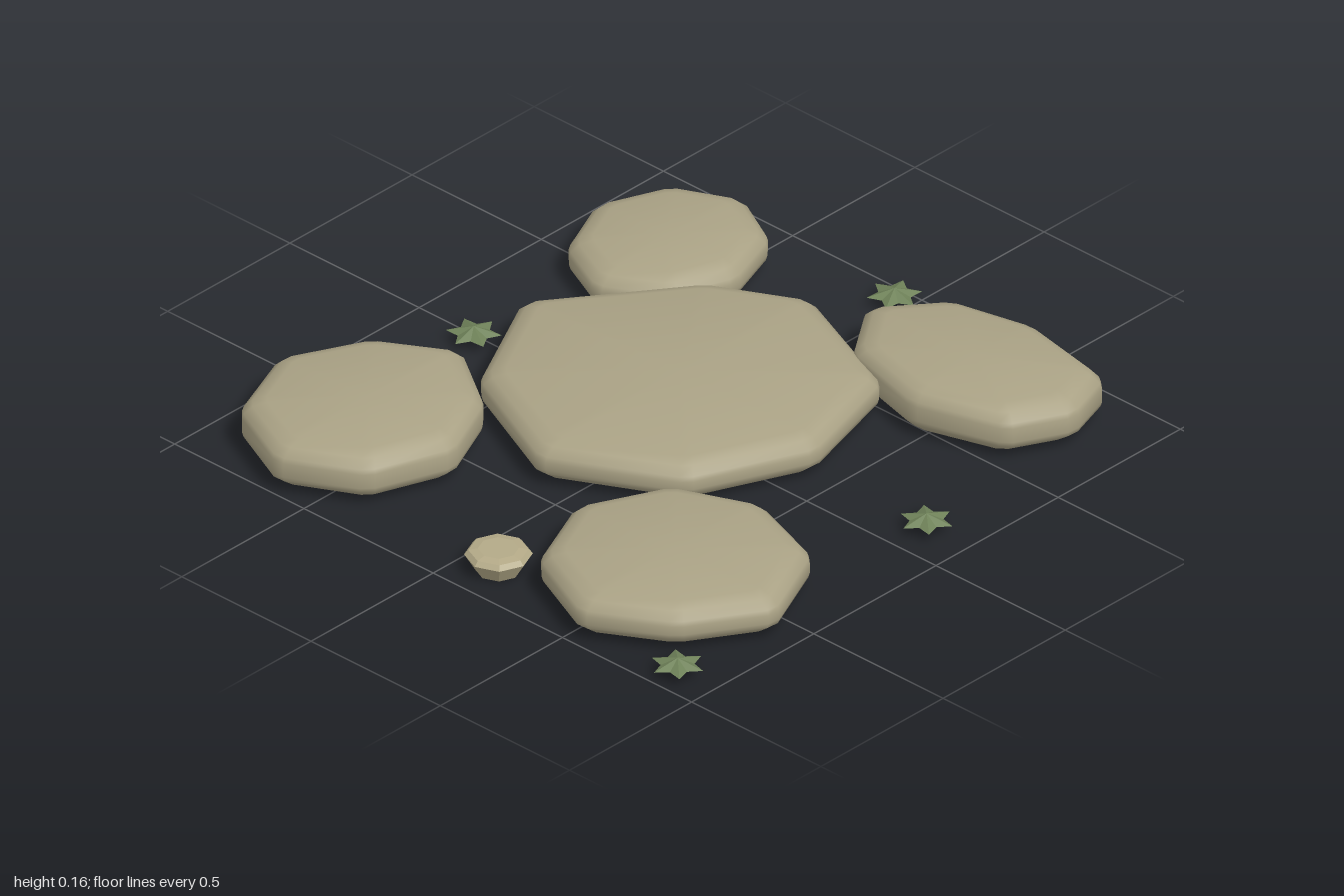
import * as THREE from 'three';
import { toCreasedNormals } from 'three/addons/utils/BufferGeometryUtils.js';

const named = (color, name) => Object.assign(new THREE.MeshStandardMaterial({ color }), { name });

// Cuts each corner of an outline into two points
function softenCorners(outline, cut) {
  const points = outline.map(([x, z]) => new THREE.Vector2(x, z));
  const n = points.length;
  return points.flatMap((p, i) =>
    [points[(i + n - 1) % n], points[(i + 1) % n]].map((q) =>
      p.clone().addScaledVector(q.clone().sub(p).normalize(), cut)));
}

// Slab with rounded rims, lofted from inset copies of one outline
function stoneGeometry(outline, height) {
  const loop = softenCorners(outline, 0.022);
  const n = loop.length;
  const centre = loop.reduce((sum, p) => sum.add(p), new THREE.Vector2()).divideScalar(n);
  const radius = loop.reduce((sum, p) => sum + p.distanceTo(centre), 0) / n;
  // [height, inset] of each ring
  const rings = [
    [0.004, 0.075], [0.016, 0.04], [0.045, 0.004], [0.06, 0],
    [height - 0.05, 0], [height - 0.035, 0.005], [height - 0.012, 0.03], [height, 0.07],
  ];
  const positions = [];
  const indices = [];
  for (const [y, inset] of rings) {
    const s = 1 - inset / radius;
    for (const p of loop) positions.push(centre.x + (p.x - centre.x) * s, y, centre.y + (p.y - centre.y) * s);
  }
  const bottom = rings.length * n;
  positions.push(centre.x, rings[0][0], centre.y, centre.x, height, centre.y);
  for (let i = 0; i < n; i++) {
    const j = (i + 1) % n;
    for (let r = 0; r < rings.length - 1; r++) {
      const a = r * n + i, b = r * n + j;
      indices.push(b, a, a + n, b, a + n, b + n);
    }
    const top = bottom - n;
    indices.push(bottom, i, j, bottom + 1, top + j, top + i);
  }
  const geometry = new THREE.BufferGeometry();
  geometry.setAttribute('position', new THREE.Float32BufferAttribute(positions, 3));
  geometry.setIndex(indices);
  return toCreasedNormals(geometry, 0.75);
}

// Low six-pointed star: a twelve-sided cone with every second rim point pulled in
function tuftGeometry() {
  const geometry = new THREE.ConeGeometry(0.08, 0.022, 12, 1);
  const pos = geometry.attributes.position;
  for (let i = 0; i < pos.count; i++) {
    const x = pos.getX(i), z = pos.getZ(i);
    if (Math.hypot(x, z) < 0.01) continue;
    const step = Math.round(Math.atan2(x, z) / (Math.PI / 6));
    if (step % 2 !== 0) {
      pos.setX(i, x * 0.6);
      pos.setZ(i, z * 0.6);
    }
  }
  return geometry.translate(0, 0.044, 0);
}

export function createModel() {
  const group = new THREE.Group();
  const stone = named(0xaaa285, 'stone');
  const paleStone = named(0xb3a987, 'pale stone');
  const grass = named(0x6f8259, 'grass');
  paleStone.flatShading = true;
  grass.flatShading = true;

  const add = (name, geometry, material) => {
    const mesh = new THREE.Mesh(geometry, material);
    mesh.name = name;
    group.add(mesh);
    return mesh;
  };

  // Stepping stones, outlines as [x, z]
  const stones = {
    centreStone: [0.135, [[-0.1, -0.665], [0.335, -0.485], [0.445, -0.1], [0.285, 0.265],
      [-0.1, 0.465], [-0.5, 0.285], [-0.695, -0.09], [-0.38, -0.52]]],
    backRightStone: [0.135, [[-0.61, -0.925], [-0.42, -0.825], [-0.345, -0.61], [-0.42, -0.41],
      [-0.61, -0.305], [-0.805, -0.395], [-0.9, -0.61], [-0.81, -0.83]]],
    backLeftStone: [0.155, [[0.48, -0.965], [0.8, -0.905], [0.86, -0.72], [0.765, -0.535],
      [0.48, -0.445], [0.185, -0.52], [0.05, -0.715], [0.2, -0.9]]],
    frontRightStone: [0.155, [[-0.61, 0.23], [-0.38, 0.385], [-0.275, 0.62], [-0.37, 0.875],
      [-0.61, 1.0], [-0.86, 0.885], [-0.965, 0.62], [-0.84, 0.365]]],
    frontLeftStone: [0.137, [[0.55, 0.225], [0.825, 0.32], [0.95, 0.6], [0.795, 0.845],
      [0.55, 0.985], [0.28, 0.865], [0.165, 0.6], [0.29, 0.335]]],
  };
  for (const [name, [height, outline]] of Object.entries(stones)) {
    add(name, stoneGeometry(outline, height), stone);
  }

  // Small pebble
  const profile = [[0, 0], [0.065, 0], [0.097, 0.052], [0.085, 0.066], [0.058, 0.071], [0, 0.071]]
    .map(([r, y]) => new THREE.Vector2(r, y));
  add('pebble', new THREE.LatheGeometry(profile, 8), paleStone).position.set(0.12, 0, 0.86);

  // Grass tufts: x, z, turn
  const tuft = tuftGeometry();
  [[-0.04, -0.93, 0.45], [0.85, -0.12, -0.2], [-0.76, 0.03, 0.05], [0.87, 0.92, -0.22]].forEach(([x, z, turn], i) => {
    const mesh = add(`grassTuft${i + 1}`, tuft, grass);
    mesh.position.set(x, 0, z);
    mesh.rotation.y = turn;
  });

  return group;
}
